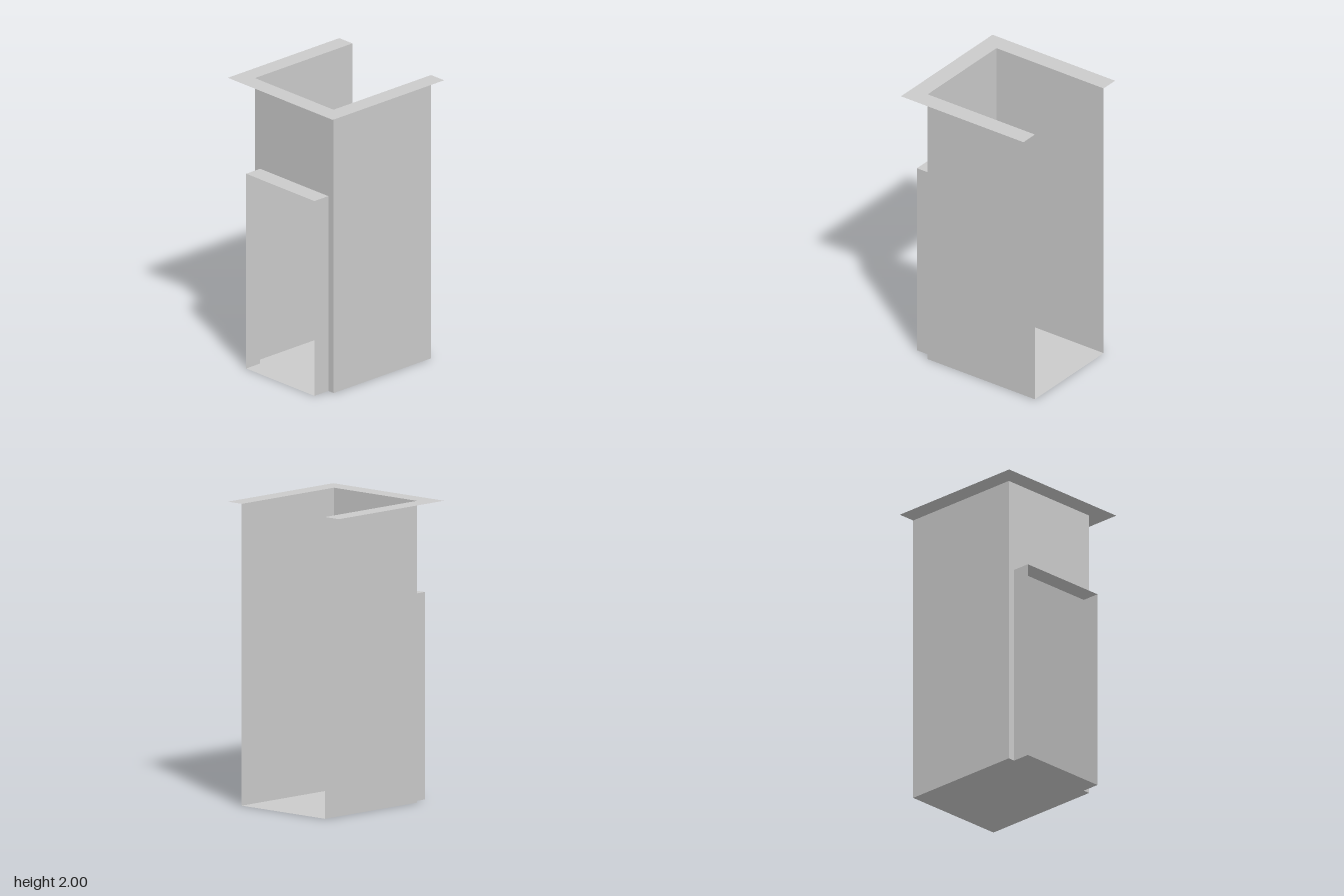
import * as THREE from 'three';

const W = 0.375;    // half width of the shaft, also the z of its front wall
const D = 0.325;    // half width of the doorway
const E = 0.5;      // outer half extent
const H = 2;        // shaft height
const DOOR = 1.375; // doorway height

const material = new THREE.MeshStandardMaterial({
  color: 0xcccccc, flatShading: true, side: THREE.DoubleSide,
});

function sheet(points) {
  return new THREE.ShapeGeometry(new THREE.Shape(points.map(([x, y]) => new THREE.Vector2(x, y))));
}

// Horizontal sheet from [x, z] outline points
function level(points, y) {
  return sheet(points.map(([x, z]) => [x, -z])).rotateX(-Math.PI / 2).translate(0, y, 0);
}

// Upright sheet facing sideways, standing on the ground
function sideSheet(x, z0, z1, height) {
  return new THREE.PlaneGeometry(z1 - z0, height)
    .rotateY(Math.sign(x) * Math.PI / 2)
    .translate(x, height / 2, (z0 + z1) / 2);
}

export function createModel() {
  const group = new THREE.Group();
  const add = (name, geometry) => {
    const mesh = new THREE.Mesh(geometry, material);
    mesh.name = name;
    group.add(mesh);
  };

  // Floor, running out through the doorway
  add('floor', level([[-W, -E], [W, -E], [W, W], [D, W], [D, E], [-D, E], [-D, W], [-W, W]], 0));

  // Front wall with the doorway cut out
  add('frontWall', sheet([[-W, 0], [-D, 0], [-D, DOOR], [D, DOOR], [D, 0], [W, 0], [W, H], [-W, H]])
    .translate(0, 0, W));

  // Side walls and doorway jambs; the back stays open
  for (const [side, s] of [['left', 1], ['right', -1]]) {
    add(`${side}Wall`, sideSheet(s * W, -E, W, H));
    add(`${side}DoorJamb`, sideSheet(s * D, W, E, DOOR));
  }

  // Doorway ceiling
  add('doorCeiling', level([[-D, W], [D, W], [D, E], [-D, E]], DOOR));

  // U-shaped flange around the top rim
  add('topFlange', level([[-E, -E], [-W, -E], [-W, W], [W, W], [W, -E], [E, -E], [E, E], [-E, E]], H));

  return group;
}
